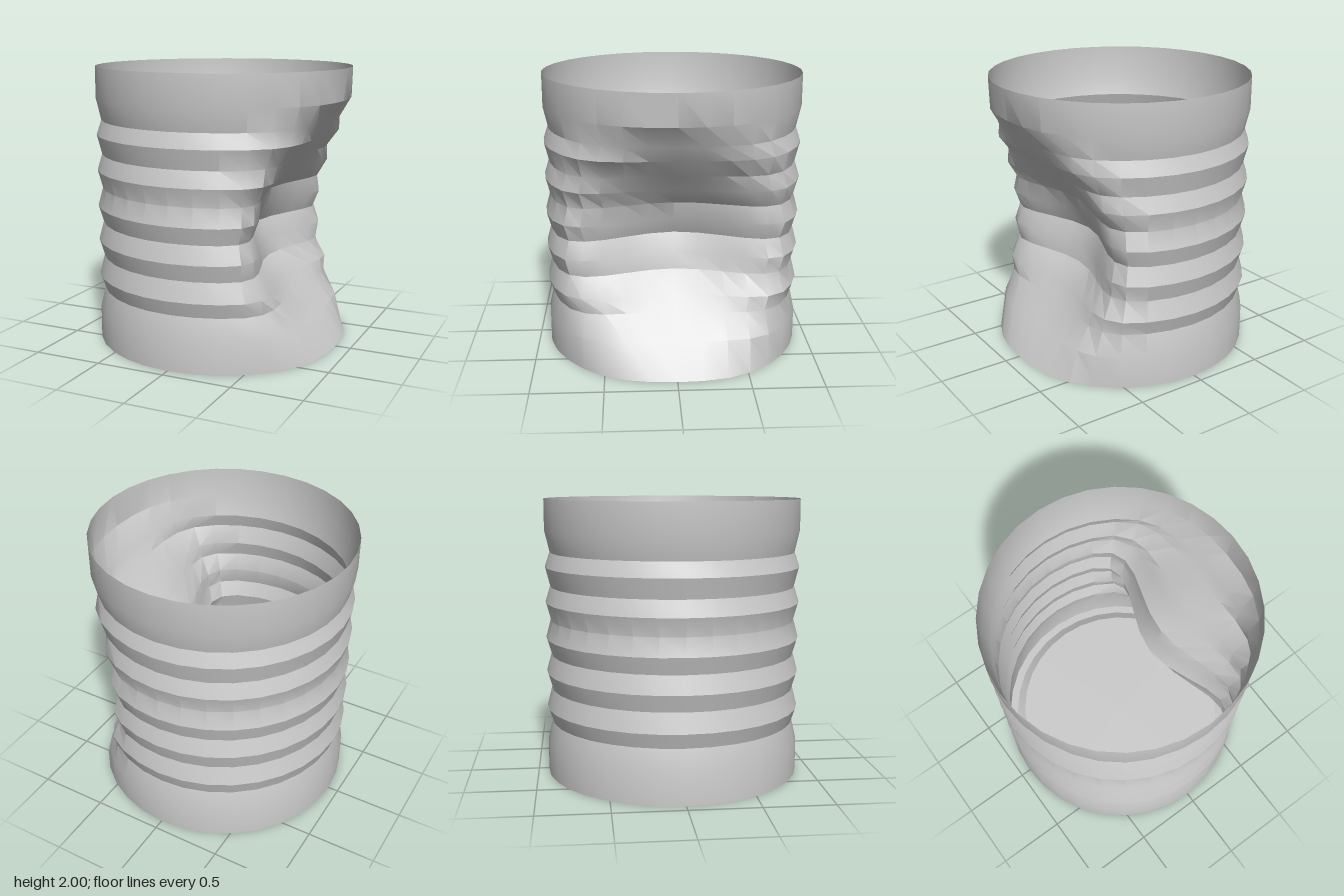
import * as THREE from 'three';
import { toCreasedNormals } from 'three/addons/utils/BufferGeometryUtils.js';

const SIDES = 32, OUTER = 0.925, INNER = 0.89, FLOOR = 0.8, FLOOR_Y = 0.04;

// Dent: pushes vertices towards -x with a smooth spherical falloff
const dentCentre = new THREE.Vector3(0.9, 0.87, 0);
const dentRadius = 1.03, dentDepth = 0.61;

function dent(geometry) {
  const pos = geometry.attributes.position;
  const p = new THREE.Vector3();
  for (let i = 0; i < pos.count; i++) {
    p.fromBufferAttribute(pos, i);
    const t = Math.max(0, 1 - p.distanceTo(dentCentre) / dentRadius);
    pos.setX(i, p.x - dentDepth * t * t * (3 - 2 * t));
  }
  return toCreasedNormals(geometry, THREE.MathUtils.degToRad(30));
}

export function createModel() {
  const group = new THREE.Group();
  group.name = 'dentedCan';
  const material = new THREE.MeshStandardMaterial({ color: 0xcccccc, side: THREE.DoubleSide });

  // Wall profile: recessed base rim, then alternating ridges and grooves
  const profile = [[FLOOR, FLOOR_Y], [0.865, 0], [OUTER, 0], [OUTER, 0.23]];
  const ribHeights = [0.385, 0.49, 0.63, 0.75, 0.88, 1.0, 1.13, 1.26, 1.375, 1.515, 1.62];
  ribHeights.forEach((y, i) => profile.push([i % 2 ? OUTER : INNER, y]));
  profile.push([OUTER, 1.775], [OUTER, 2]);

  const wallGeometry = new THREE.LatheGeometry(profile.map(([r, y]) => new THREE.Vector2(r, y)), SIDES);
  const wall = new THREE.Mesh(dent(wallGeometry), material);
  wall.name = 'ribbedWall';
  group.add(wall);

  // Raised floor closing the bottom
  const floorGeometry = new THREE.CircleGeometry(FLOOR, SIDES).rotateX(Math.PI / 2).translate(0, FLOOR_Y, 0);
  const floor = new THREE.Mesh(dent(floorGeometry), material);
  floor.name = 'floor';
  group.add(floor);

  return group;
}
